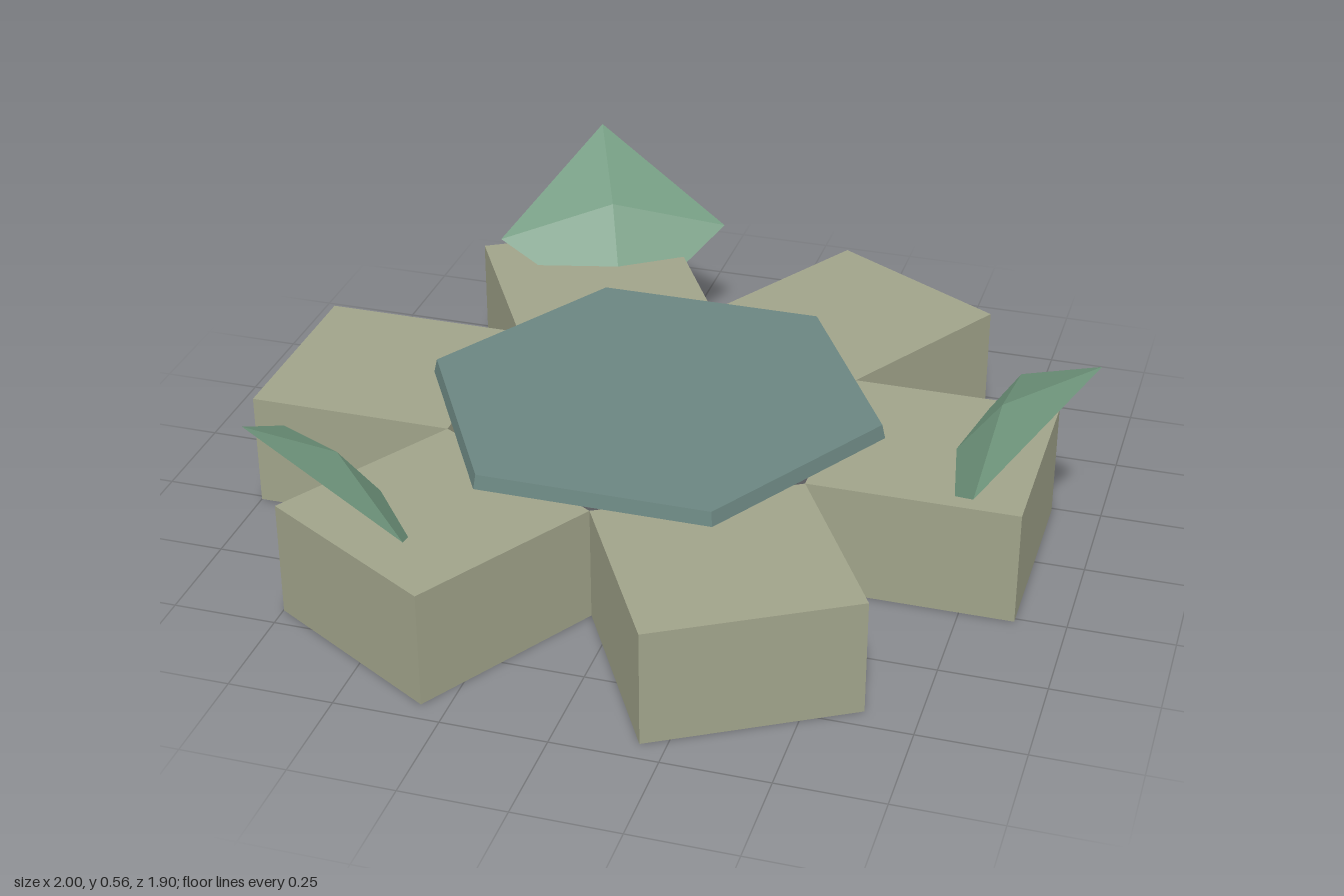
import * as THREE from 'three';

const material = (name, color) =>
  new THREE.MeshStandardMaterial({ name, color, flatShading: true });

// Four-sided shard: flat outer side, raised point facing the hub, lower tip sunk in the arm
function shardGeometry() {
  const points = [
    1.06, 0.555, 0,      // 0 apex
    0.835, 0.34, 0.30,   // 1 side
    0.835, 0.34, -0.30,  // 2 side
    0.84, 0.42, 0,       // 3 raised point
    0.646, 0.16, 0,      // 4 buried tip
  ];
  const faces = [0, 2, 3, 2, 4, 3, 4, 1, 3, 1, 0, 3, 2, 0, 4, 0, 1, 4];
  const g = new THREE.BufferGeometry();
  g.setAttribute('position', new THREE.Float32BufferAttribute(points, 3));
  g.setIndex(faces);
  const flat = g.toNonIndexed();
  flat.computeVertexNormals();
  return flat;
}

export function createModel() {
  const stone = material('stone', 0xa0a38a);
  const slate = material('slate', 0x6b8681);
  const green = material('green', 0x72997f);

  const model = new THREE.Group();
  model.name = 'hexStand';
  const body = new THREE.Group();
  body.name = 'body';
  body.position.set(-0.06, 0, 0.01);
  model.add(body);

  // Six blocks around an open hexagonal middle
  const width = 0.505, height = 0.285, outer = 0.94;
  const inner = width * Math.sqrt(3) / 2;
  const armGeometry = new THREE.BoxGeometry(outer - inner, height, width);
  armGeometry.translate((outer + inner) / 2, height / 2, 0);
  for (let i = 0; i < 6; i++) {
    const arm = new THREE.Mesh(armGeometry, stone);
    arm.name = 'arm' + (i + 1);
    arm.rotation.y = i * Math.PI / 3;
    body.add(arm);
  }

  // Hexagonal cap, slightly tapered
  const cap = new THREE.Mesh(
    new THREE.CylinderGeometry(0.56, 0.568, 0.035, 6, 1, false, Math.PI / 2), slate);
  cap.name = 'cap';
  cap.position.y = height + 0.0175;
  body.add(cap);

  // Three leaning shards, turned unevenly
  const shape = shardGeometry();
  [0, 130.9, 245.4].forEach((degrees, i) => {
    const shard = new THREE.Mesh(shape, green);
    shard.name = 'shard' + (i + 1);
    shard.rotation.y = -THREE.MathUtils.degToRad(degrees);
    body.add(shard);
  });

  return model;
}
